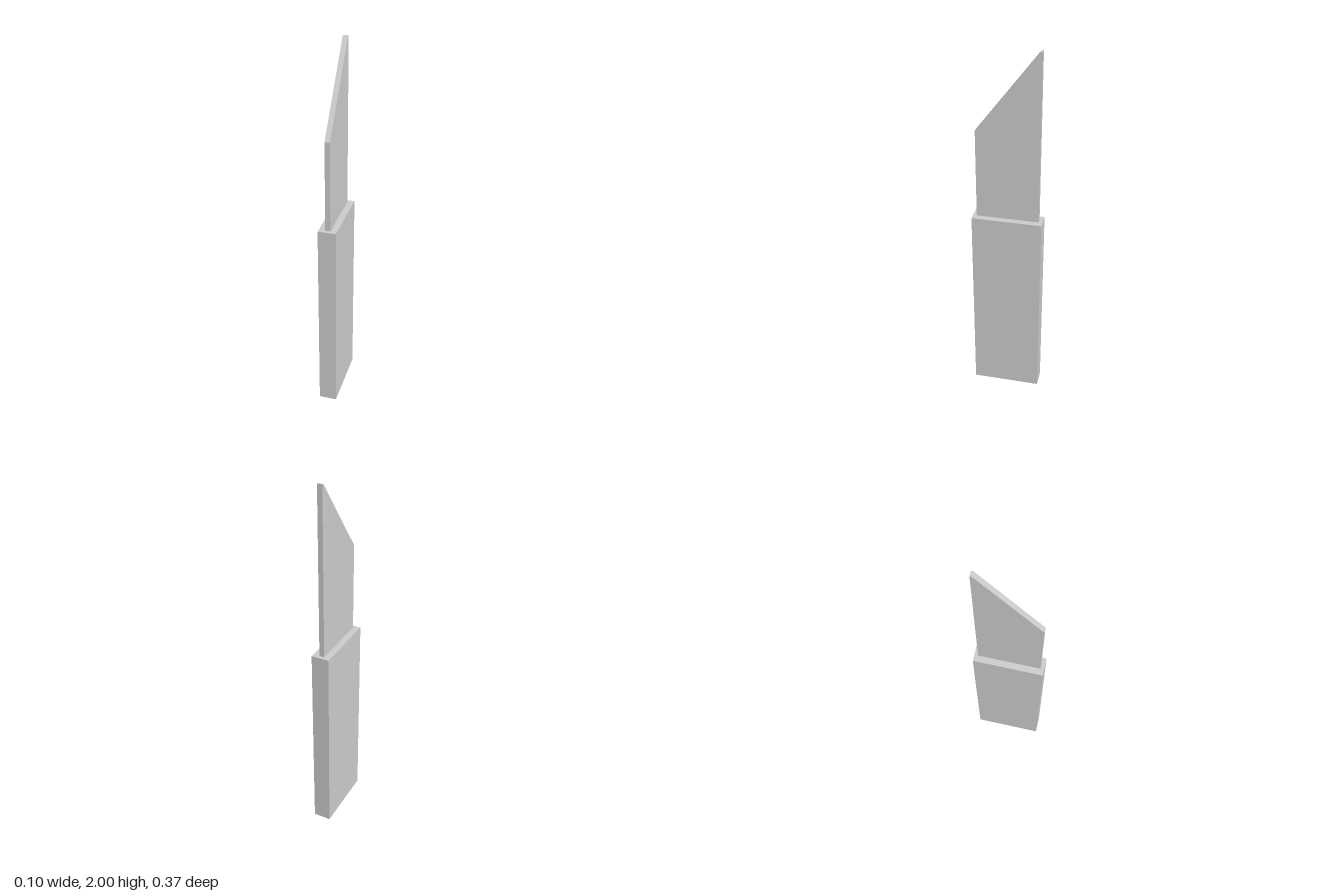
import * as THREE from 'three';

export function createModel() {
  const group = new THREE.Group();
  const material = new THREE.MeshStandardMaterial({ color: 0xcccccc, flatShading: true });

  // Flat rectangular handle standing on the ground
  const handleHeight = 1.094;
  const handle = new THREE.Mesh(new THREE.BoxGeometry(0.096, handleHeight, 0.37), material);
  handle.name = 'handle';
  handle.position.y = handleHeight / 2;
  group.add(handle);

  // Thin blade: side profile (z, y) with a slanted edge and a small blunt tip
  const profile = new THREE.Shape([
    [-0.165, handleHeight], [0.165, handleHeight], [0.165, 1.577], [-0.155, 2], [-0.165, 2],
  ].map(([z, y]) => new THREE.Vector2(z, y)));
  const thickness = 0.027;
  const bladeGeometry = new THREE.ExtrudeGeometry(profile, { depth: thickness, bevelEnabled: false });
  bladeGeometry.translate(0, 0, -thickness / 2);
  bladeGeometry.rotateY(-Math.PI / 2);
  const blade = new THREE.Mesh(bladeGeometry, material);
  blade.name = 'blade';
  group.add(blade);

  return group;
}
